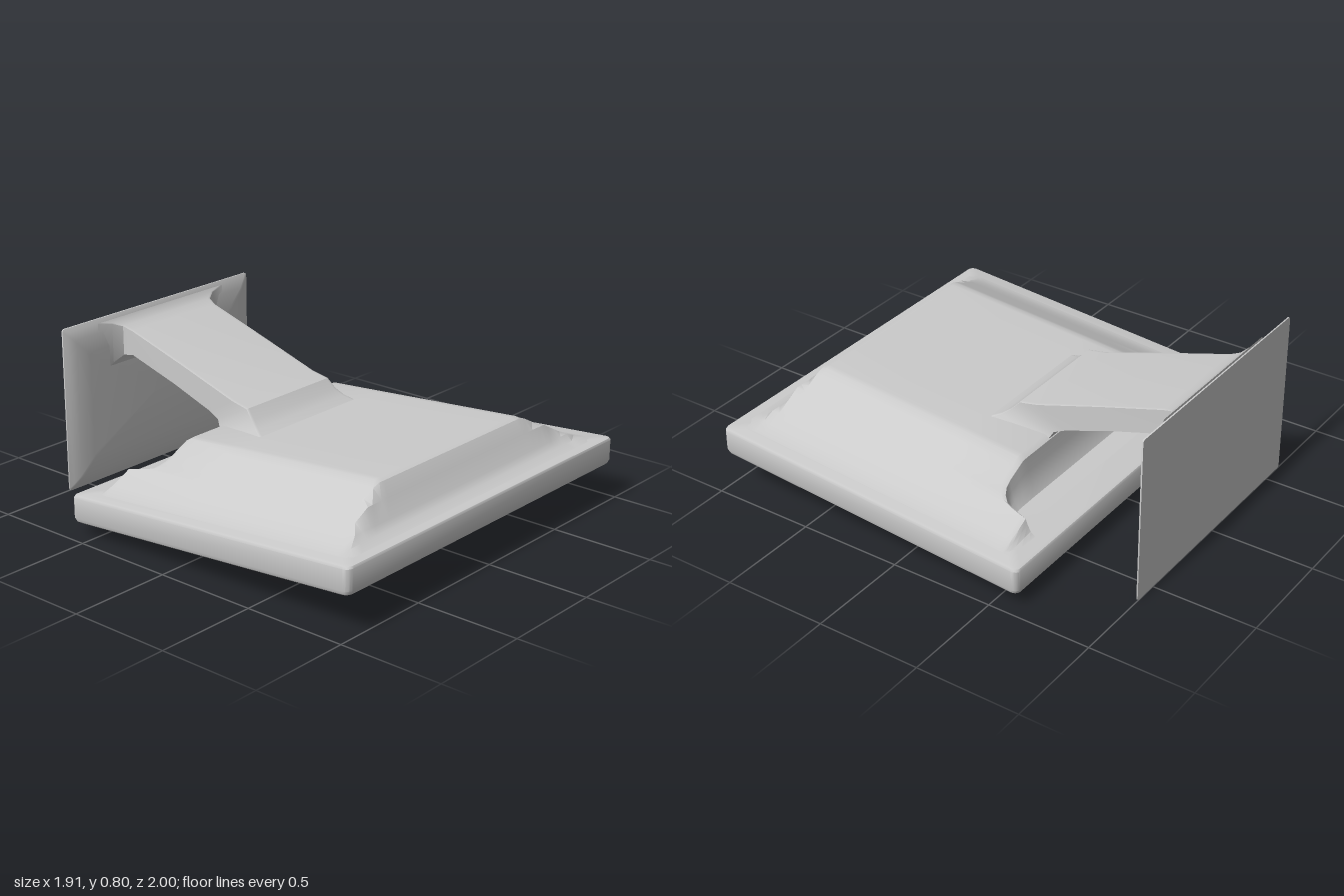
import * as THREE from 'three';
import { toCreasedNormals } from 'three/addons/utils/BufferGeometryUtils.js';

const material = new THREE.MeshStandardMaterial({ color: 0xcccccc, side: THREE.DoubleSide });
const TILT = 0.08; // the head rises towards the front

function addPart(group, name, geometry) {
  const mesh = new THREE.Mesh(toCreasedNormals(geometry, 0.55), material);
  mesh.name = name;
  group.add(mesh);
}

// Counter-clockwise rounded rectangle from half sizes
function roundedRect(w, h, r, n = 4) {
  const pts = [];
  [[1, 1], [-1, 1], [-1, -1], [1, -1]].forEach(([sx, sy], q) => {
    for (let i = 0; i <= n; i++) {
      const a = (q + i / n) * Math.PI / 2;
      pts.push([sx * (w - r) + r * Math.cos(a), sy * (h - r) + r * Math.sin(a)]);
    }
  });
  return pts;
}

// Skin a list of equal rings of [x, y, z] points and cap both ends
function loft(rings) {
  const n = rings[0].length, pos = rings.flat(2), index = [];
  for (let i = 0; i < rings.length - 1; i++) {
    for (let j = 0; j < n; j++) {
      const a = i * n + j, b = i * n + (j + 1) % n;
      index.push(a, b, b + n, a, b + n, a + n);
    }
  }
  [0, rings.length - 1].forEach((r, end) => {
    const centre = pos.length / 3;
    for (let k = 0; k < 3; k++) pos.push(rings[r].reduce((s, p) => s + p[k], 0) / n);
    for (let j = 0; j < n; j++) {
      const a = r * n + j, b = r * n + (j + 1) % n;
      index.push(centre, end ? a : b, end ? b : a);
    }
  });
  const g = new THREE.BufferGeometry();
  g.setAttribute('position', new THREE.Float32BufferAttribute(pos, 3));
  g.setIndex(index);
  return g;
}

// Piecewise-linear lookup in ascending [position, value] pairs
function lookup(table, x) {
  if (x <= table[0][0]) return table[0][1];
  for (let i = 1; i < table.length; i++) {
    const [x0, y0] = table[i - 1], [x1, y1] = table[i];
    if (x <= x1) return y0 + (y1 - y0) * (x - x0) / (x1 - x0);
  }
  return table[table.length - 1][1];
}

// Raised cover: sloped front and sides, with a notch cut into the back
function coverGeometry() {
  const half = [0.3, 0.47, 0.5, 0.54, 0.6, 0.63, 0.66, 0.685, 0.7, 0.712, 0.76, 0.82, 0.87, 0.91];
  const xs = [...half.map(x => -x).reverse(), 0, ...half];
  const sideHeight = [[0.47, 0.19], [0.5, 0.188], [0.54, 0.168], [0.76, 0.05], [0.82, 0.022], [0.87, 0.003], [0.91, -0.004]];
  const frontHeight = [[0.76, 0.19], [0.785, 0.18], [0.83, 0.12], [0.87, 0.045], [0.9, 0.015], [0.96, -0.004]];
  const backEdge = x => {
    if (x < 0.6) return -0.33;
    if (x > 0.705) return -0.49;
    const t = Math.min(1, (x - 0.6) / 0.1);
    return -0.33 - 0.1 * (1 - Math.sqrt(1 - t * t));
  };
  // Back rows follow the notch edge: [offset, share of height]
  const backRows = [[-0.05, 0.04], [-0.025, 0.25], [-0.01, 0.6], [0, 0.93], [0.025, 1]];
  const frontRows = [0, 0.4, ...frontHeight.map(p => p[0])];
  const rows = 1 + backRows.length + frontRows.length;
  const g = new THREE.PlaneGeometry(1, 1, xs.length - 1, rows - 1);
  const p = g.attributes.position;
  for (let r = 0; r < rows; r++) {
    xs.forEach((x, c) => {
      const ax = Math.abs(x);
      let z = -0.57, h = -0.004;
      if (r > backRows.length) {
        z = frontRows[r - 1 - backRows.length];
        h = Math.min(lookup(sideHeight, ax), lookup(frontHeight, z));
      } else if (r > 0) {
        const [dz, share] = backRows[r - 1];
        z = backEdge(ax) + dz;
        h = -0.004 + (lookup(sideHeight, ax) + 0.004) * share;
      }
      p.setXYZ(r * xs.length + c, x, 0.24 + TILT * z + h, z);
    });
  }
  return g;
}

export function createModel() {
  const group = new THREE.Group();

  // Tilted slab with a softened rim and a shallow recessed underside
  const slab = [[0.068, 0.109], [0.062, 0.103], [0.02, 0.103], [0.006, 0.113], [0, 0.13], [0, 0.226], [0.005, 0.236], [0.018, 0.24]];
  addPart(group, 'headSlab', loft(slab.map(([inset, y]) =>
    roundedRect(0.955 - inset, 0.806 - inset, 0.03).map(([u, v]) => {
      const z = 0.194 - v;
      return [u, y + TILT * z, z];
    }))));

  addPart(group, 'headCover', coverGeometry());

  // Arm from wall to head: [top z, top y, bottom z, bottom y, half width]
  const arm = [
    [-0.972, 0.785, -0.972, 0.53, 0.42],
    [-0.96, 0.77, -0.96, 0.575, 0.34],
    [-0.935, 0.752, -0.935, 0.607, 0.295],
    [-0.89, 0.735, -0.89, 0.613, 0.282],
    [-0.57, 0.637, -0.62, 0.53, 0.28],
    [-0.25, 0.535, -0.4, 0.452, 0.28],
    [-0.16, 0.518, -0.345, 0.425, 0.282],
    [-0.12, 0.475, -0.325, 0.39, 0.292],
    [-0.08, 0.445, -0.33, 0.35, 0.31],
    [-0.02, 0.42, -0.345, 0.29, 0.34],
  ];
  addPart(group, 'supportArm', loft(arm.map(([zt, yt, zb, yb, w]) =>
    roundedRect(w, 0.5, 0.015, 2).map(([u, v]) => {
      const t = v + 0.5;
      return [u, yb + (yt - yb) * t, zb + (zt - zb) * t];
    }))));

  // Wall plate, thinning towards its edges
  const plate = [[0, -1], [0, -0.993], [0.02, -0.982], [0.06, -0.968], [0.14, -0.963]];
  addPart(group, 'wallPlate', loft(plate.map(([inset, z]) =>
    roundedRect(0.622 - inset, 0.4 - inset, 0.012, 2).map(([u, v]) => [u, v + 0.4, z]))));

  return group;
}
